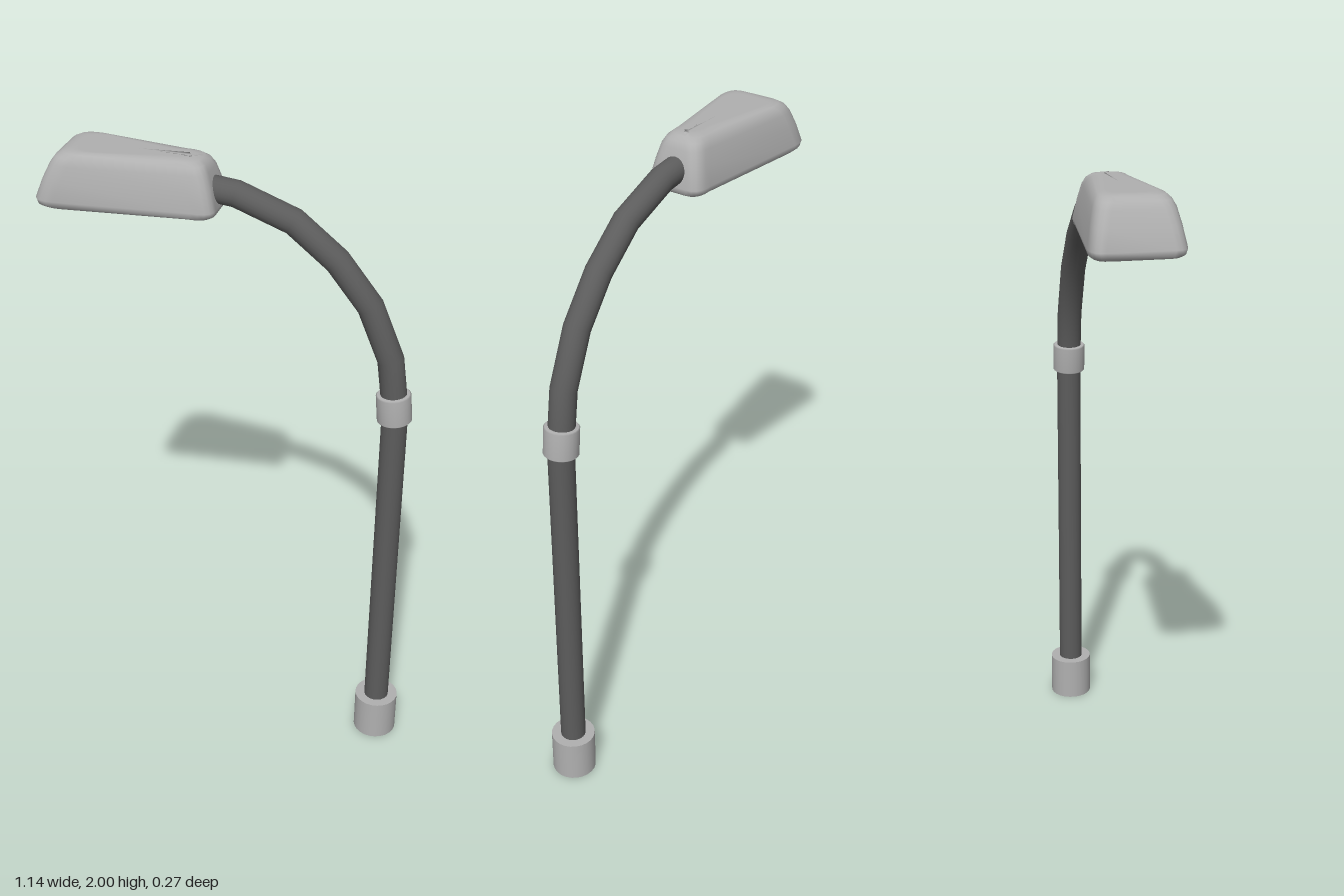
import * as THREE from 'three';

// Skin a list of closed rings (arrays of Vector3) with smooth normals
function loft(rings) {
  const n = rings[0].length;
  const index = [];
  for (let i = 0; i < rings.length - 1; i++) {
    for (let j = 0; j < n; j++) {
      const k = (j + 1) % n;
      const a = i * n + j, b = i * n + k, c = a + n, d = b + n;
      index.push(a, b, c, b, d, c);
    }
  }
  const geo = new THREE.BufferGeometry().setFromPoints(rings.flat());
  geo.setIndex(index);
  geo.computeVertexNormals();
  return geo;
}

// Tapered plan outline of the lamp head at height y, inset at outer end, inner end and sides
function outline(y, outer, inner, side, round = 1) {
  const xl = -0.572 + outer, xr = -0.04 - inner;
  const wl = 0.14 - side, wr = 0.099 - side;
  const corners = [[xr, wr], [xr, -wr], [xl, -wl], [xl, wl]];
  const pts = [];
  corners.forEach(([x, z], i) => {
    const dx = -Math.sign(x - (xl + xr) / 2) * 0.065 * round;
    const dz = -Math.sign(z) * 0.045 * round;
    const alongX = new THREE.Vector3(x + dx, y, z + dz * 0.1);
    const alongZ = new THREE.Vector3(x, y, z + dz);
    const [p, q] = i % 2 ? [alongZ, alongX] : [alongX, alongZ];
    pts.push(...new THREE.QuadraticBezierCurve3(p, new THREE.Vector3(x, y, z), q).getPoints(5));
  });
  return pts;
}

const centreRing = (ring, x) => ring.map(p => new THREE.Vector3(x, p.y, 0));

export function createModel() {
  const group = new THREE.Group();
  const light = new THREE.MeshStandardMaterial({ color: 0xb0b0b0, side: THREE.DoubleSide });
  light.name = 'light grey metal';
  const dark = new THREE.MeshStandardMaterial({ color: 0x5c5c5c });
  dark.name = 'dark grey metal';

  const add = (name, geo, mat, x = 0, y = 0) => {
    const mesh = new THREE.Mesh(geo, mat);
    mesh.name = name;
    mesh.position.set(x, y, 0);
    group.add(mesh);
    return mesh;
  };

  // Upright, standing in a socket that is open underneath
  add('base', new THREE.CylinderGeometry(0.07, 0.07, 0.14, 24, 1, true), light, 0.502, 0.07);
  add('baseTop', new THREE.CircleGeometry(0.07, 24).rotateX(-Math.PI / 2), light, 0.502, 0.14);
  add('pole', new THREE.CylinderGeometry(0.04, 0.04, 1.12, 20), dark, 0.502, 0.7);

  // Slightly tilted collar with bevelled rims
  const collarProfile = [[0.035, -0.046], [0.049, -0.046], [0.053, -0.042], [0.053, 0.042],
    [0.049, 0.046], [0.035, 0.046]].map(p => new THREE.Vector2(...p));
  add('collar', new THREE.LatheGeometry(collarProfile, 24), light, 0.498, 1.275).rotation.z = 0.09;

  // Curved arm built from straight runs
  const path = [[0.502, 1.22], [0.497, 1.3], [0.479, 1.435], [0.41, 1.6], [0.307, 1.73],
    [0.176, 1.835], [0.005, 1.898], [-0.1, 1.909]].map(p => new THREE.Vector2(...p));
  const armRings = path.map((p, i) => {
    const prev = path[Math.max(i - 1, 0)], next = path[Math.min(i + 1, path.length - 1)];
    const into = p.clone().sub(prev).normalize(), out = next.clone().sub(p).normalize();
    const d = into.add(out).normalize();
    return Array.from({ length: 20 }, (_, j) => {
      const t = j / 20 * Math.PI * 2, r = 0.04;
      return new THREE.Vector3(p.x + d.y * Math.cos(t) * r, p.y - d.x * Math.cos(t) * r, -Math.sin(t) * r);
    });
  });
  add('arm', loft(armRings), dark);

  // Lamp head: rounded shell
  const levels = [[1.837, 0.015, 0.014, 0.014], [1.845, 0.004, 0.004, 0.004], [1.862, 0, 0, 0],
    [1.92, 0.021, 0.014, 0.011], [1.965, 0.042, 0.028, 0.022], [1.985, 0.056, 0.04, 0.032],
    [1.996, 0.074, 0.056, 0.044], [2.0, 0.095, 0.076, 0.06], [2.0, 0.11, 0.09, 0.07]];
  const shell = levels.map(l => outline(...l));
  add('lampShell', loft([...shell, centreRing(shell.at(-1), -0.3)]), light);

  // Recessed underside: rim, inner walls and panel
  const opening = outline(1.837, 0.038, 0.034, 0.034, 0.1);
  const recess = outline(1.9, 0.055, 0.05, 0.048, 0.1);
  add('lampRim', loft([opening, shell[0]]), light);
  add('lampInnerWall', loft([recess, opening]), light);
  add('lampPanel', loft([centreRing(recess, -0.3), recess]), light);

  return group;
}
